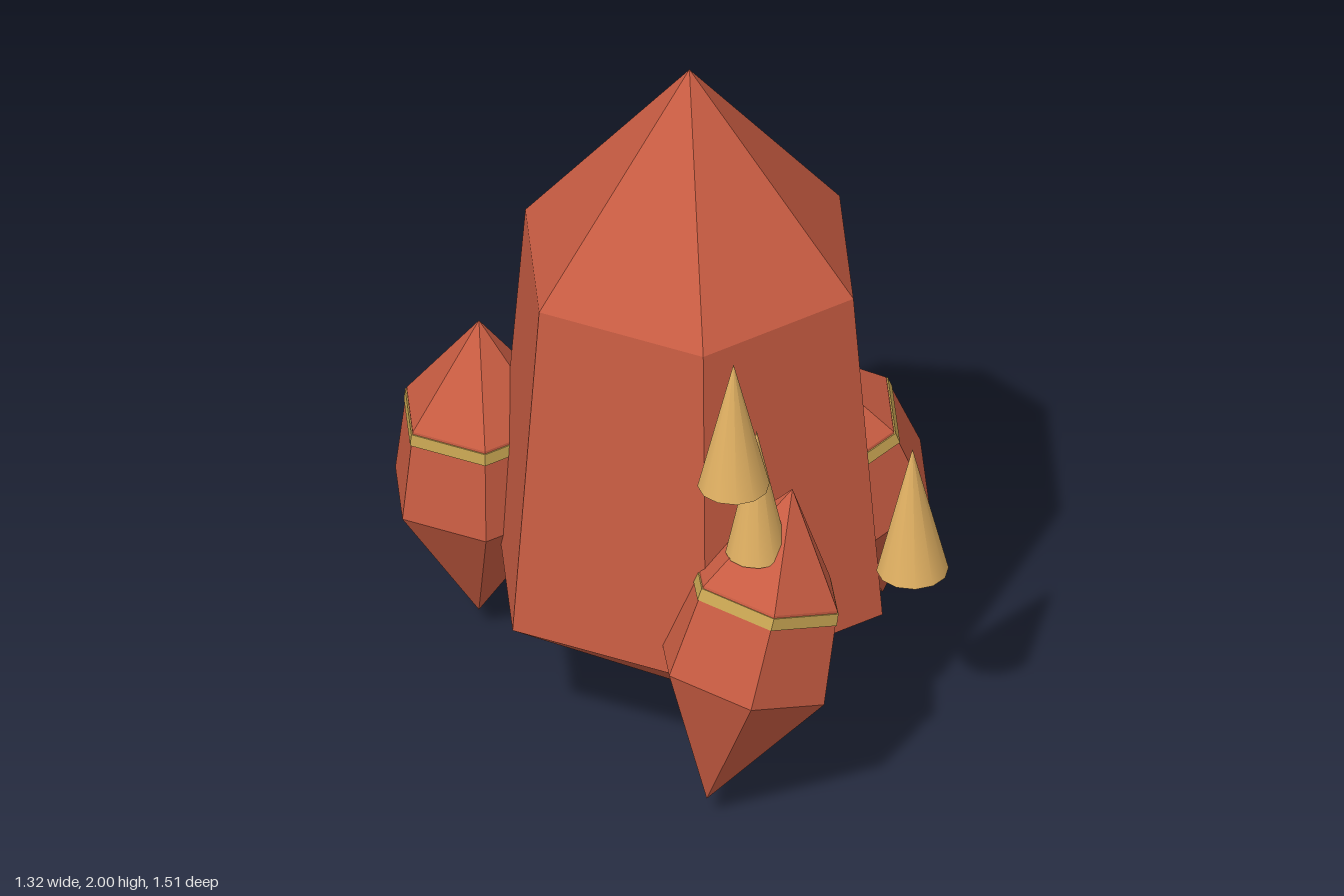
import * as THREE from 'three';

const crystalRed = new THREE.MeshStandardMaterial({ color: 0xc85c42, flatShading: true });
crystalRed.name = 'crystal red';
const bandGold = new THREE.MeshStandardMaterial({ color: 0xc8a552, flatShading: true });
bandGold.name = 'band gold';
const spikeGold = new THREE.MeshStandardMaterial({ color: 0xe0b062 });
spikeGold.name = 'spike gold';

function part(name, geometry, material) {
  const mesh = new THREE.Mesh(geometry, material);
  mesh.name = name;
  return mesh;
}

// Six-sided crystal from [radius, height] rings, with corners on the x axis
function crystal(name, profile) {
  const points = profile.map(([r, y]) => new THREE.Vector2(r, y));
  return part(name, new THREE.LatheGeometry(points, 6, Math.PI / 6), crystalRed);
}

// Small crystal with a thin gold band, pivoting on its lower tip
function sideCrystal(name, x, z, tilt) {
  const group = new THREE.Group();
  group.name = name;
  group.add(crystal(name + 'Body', [[0, 0], [0.248, 0.39], [0.214, 0.66], [0, 0.94]]));
  const band = part(name + 'Band', new THREE.CylinderGeometry(0.219, 0.223, 0.034, 6, 1, false, Math.PI / 6), bandGold);
  band.position.y = 0.636;
  group.add(band);
  group.position.set(x, 0.06, z);
  group.rotation.z = tilt;
  return group;
}

export function createModel() {
  const model = new THREE.Group();
  model.name = 'crystalCluster';

  // Large central crystal
  const main = crystal('mainCrystal', [[0, 0], [0.573, 0.4], [0.487, 1.4], [0, 2]]);
  main.position.x = -0.087;
  model.add(main);

  // Three satellites
  model.add(
    sideCrystal('leftCrystal', 0.54, 0, 0.3),
    sideCrystal('frontCrystal', -0.4, 0.54, -0.3),
    sideCrystal('backCrystal', -0.4, -0.54, 0),
  );

  // Gold spikes along the front: x, base height, radius
  const spikes = [[-0.32, 1.055, 0.097], [-0.245, 0.81, 0.084], [0.26, 0.555, 0.097]];
  spikes.forEach(([x, base, radius], i) => {
    const spike = part('spike' + (i + 1), new THREE.ConeGeometry(radius, 0.39, 12), spikeGold);
    spike.position.set(x, base + 0.195, 0.55);
    model.add(spike);
  });

  return model;
}
